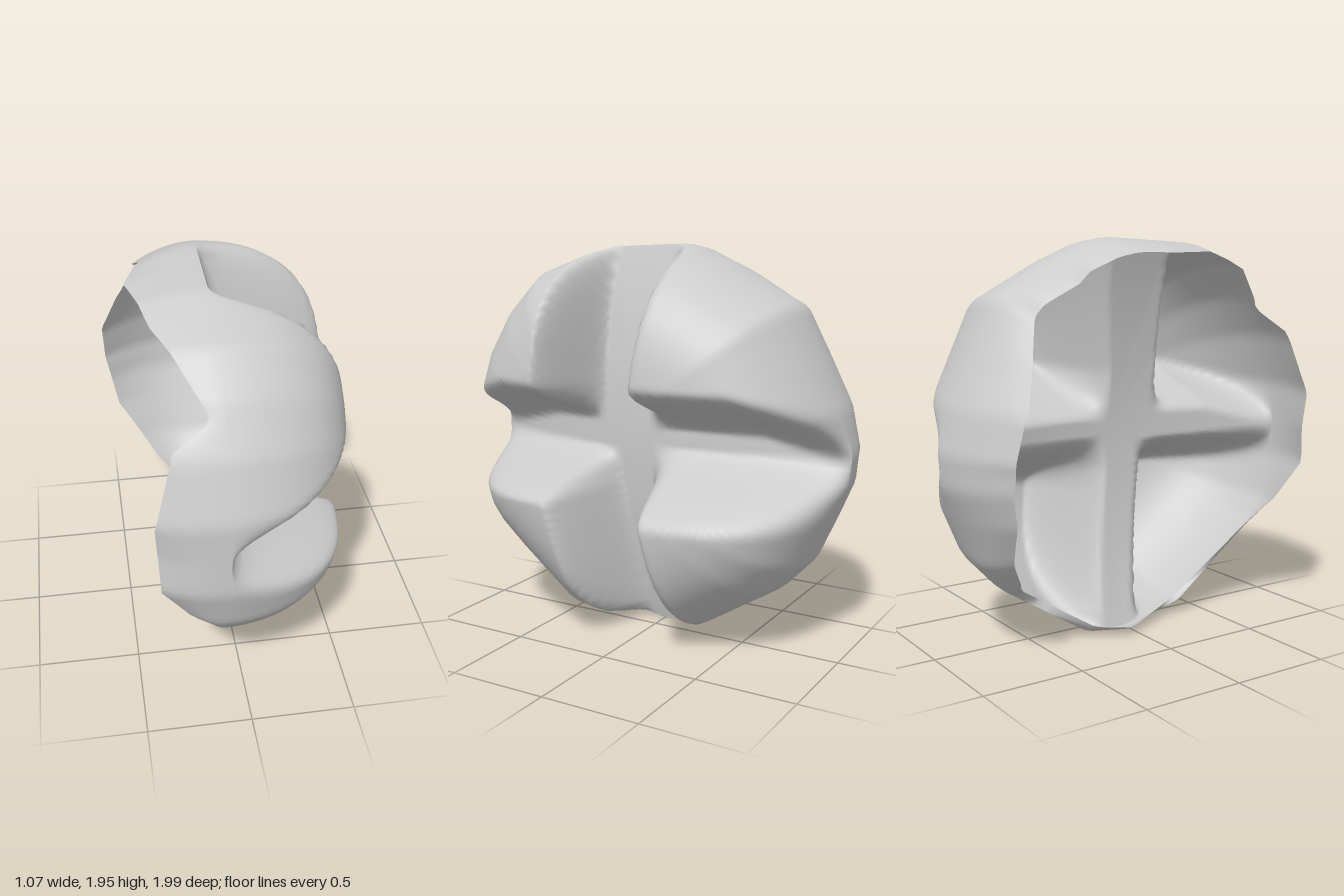
import * as THREE from 'three';

// Polygonal outline around the +x axis: [degrees from +z towards +y, radius]
const OUTLINE = [[-11, 1.01], [11, 1.01], [27, 1.01], [41, 1.02], [54, 1.03], [72, 0.99], [97, 0.967],
  [103, 0.965], [115, 0.95], [137, 1], [168, 0.975], [180, 1], [189, 1], [213, 0.985], [225, 0.97],
  [249, 0.965], [257, 1], [270, 0.99], [291, 0.985], [316, 0.95], [328, 0.99], [335, 1.01], [349, 1.01],
  [371, 1.01]];
// Open rim at the back: x position and share of the outline radius
const RIM_X = [[0, -0.41], [10, -0.42], [30, -0.33], [37, -0.16], [63, -0.37], [85, -0.45], [102, -0.36],
  [112, -0.32], [120, -0.38], [132, -0.33], [150, -0.46], [165, -0.54], [180, -0.53], [200, -0.47],
  [222, -0.26], [230, -0.14], [238, -0.07], [255, -0.16], [266, -0.25], [291, -0.06], [318, -0.14],
  [327, -0.18], [348, -0.4], [360, -0.41]];
const RIM_R = [[0, 0.92], [37, 0.99], [85, 0.93], [130, 0.9], [165, 0.84], [185, 0.84], [228, 0.96],
  [270, 0.96], [291, 0.99], [360, 0.92]];

const clamp01 = (t) => THREE.MathUtils.clamp(t, 0, 1);

function segment(table, d) {
  let i = 1;
  while (i < table.length - 1 && table[i][0] < d) i++;
  return [...table[i - 1], ...table[i]];
}

function lookup(table, d) {
  const [a, va, b, vb] = segment(table, d);
  return va + (vb - va) * (d - a) / (b - a);
}

// Radius of the outline along straight chords
function outlineRadius(d) {
  const [a, ra, b, rb] = segment(OUTLINE, d);
  const sin = (deg) => Math.sin(THREE.MathUtils.degToRad(deg));
  return ra * rb * sin(b - a) / (ra * sin(d - a) + rb * sin(b - d));
}

// 0 at the foot of a groove wall, 1 at its crest
function wall(value, foot, crest) {
  const t = clamp01((value - foot) / (crest - foot));
  return t * t * (3 - 2 * t);
}

// How far each point lies on one of the four lobes rather than in the cross groove
function lobeMask(z, y) {
  const low = clamp01((0.8 - y) / 0.7), high = clamp01((y - 1.3) / 0.6);
  const end = 0.09 * clamp01((Math.abs(z) - 0.6) / 0.35);
  const upperFront = wall(z, 0.28, 0.39) * wall(y + end, 1.07, 1.31);
  const upperBack = wall(z, 0.02 - 0.09 * high, -0.17 - 0.06 * high) * wall(y + end, 1.05, 1.33);
  const lowerFront = wall(z, 0.18 - 0.1 * low, 0.33 - 0.13 * low) * wall(y, 0.95, 0.72);
  const lowerBack = wall(z, -0.12 * low, -0.2 - 0.12 * low) * wall(y, 0.98, 0.67);
  return Math.max(upperFront, upperBack, lowerFront, lowerBack);
}

function shellGeometry() {
  const around = 180, face = 44, skirt = 8, rings = face + skirt;
  const pos = [0.05, 1, 0], index = [];
  for (let a = 0; a < around; a++) {
    const deg = a * 360 / around, ang = THREE.MathUtils.degToRad(deg);
    const R = outlineRadius(deg), rimX = lookup(RIM_X, deg), rimR = lookup(RIM_R, deg);
    for (let v = 1; v <= rings; v++) {
      let r, x;
      if (v <= face) {
        // Domed face cut by the cross groove
        r = Math.sin(v / face * Math.PI / 2);
        const z = R * r * Math.cos(ang), y = 1 + R * r * Math.sin(ang);
        const dome = -0.1 + 0.635 * Math.sqrt(Math.max(0, 1 - r ** 4));
        const floor = 0.05 - 0.15 * r * r;
        x = floor + (dome - floor) * lobeMask(z, y);
      } else {
        // Side skirt curling in to the uneven open rim
        const t = (v - face) / skirt;
        r = 1 - (1 - rimR) * t * t;
        x = -0.1 + (rimX + 0.1) * t;
      }
      pos.push(x, 1 + R * r * Math.sin(ang), R * r * Math.cos(ang));
    }
    const p = 1 + a * rings, q = 1 + ((a + 1) % around) * rings;
    index.push(0, q, p);
    for (let v = 0; v < rings - 1; v++) {
      index.push(p + v, q + v, q + v + 1, p + v, q + v + 1, p + v + 1);
    }
  }
  const g = new THREE.BufferGeometry();
  g.setAttribute('position', new THREE.Float32BufferAttribute(pos, 3));
  g.setIndex(index);
  g.computeVertexNormals();
  return g;
}

export function createModel() {
  const group = new THREE.Group();
  group.name = 'lobedShell';
  const material = new THREE.MeshStandardMaterial({ color: 0xcccccc, side: THREE.DoubleSide });
  const shell = new THREE.Mesh(shellGeometry(), material);
  shell.name = 'fourLobedShell';
  group.add(shell);
  return group;
}
